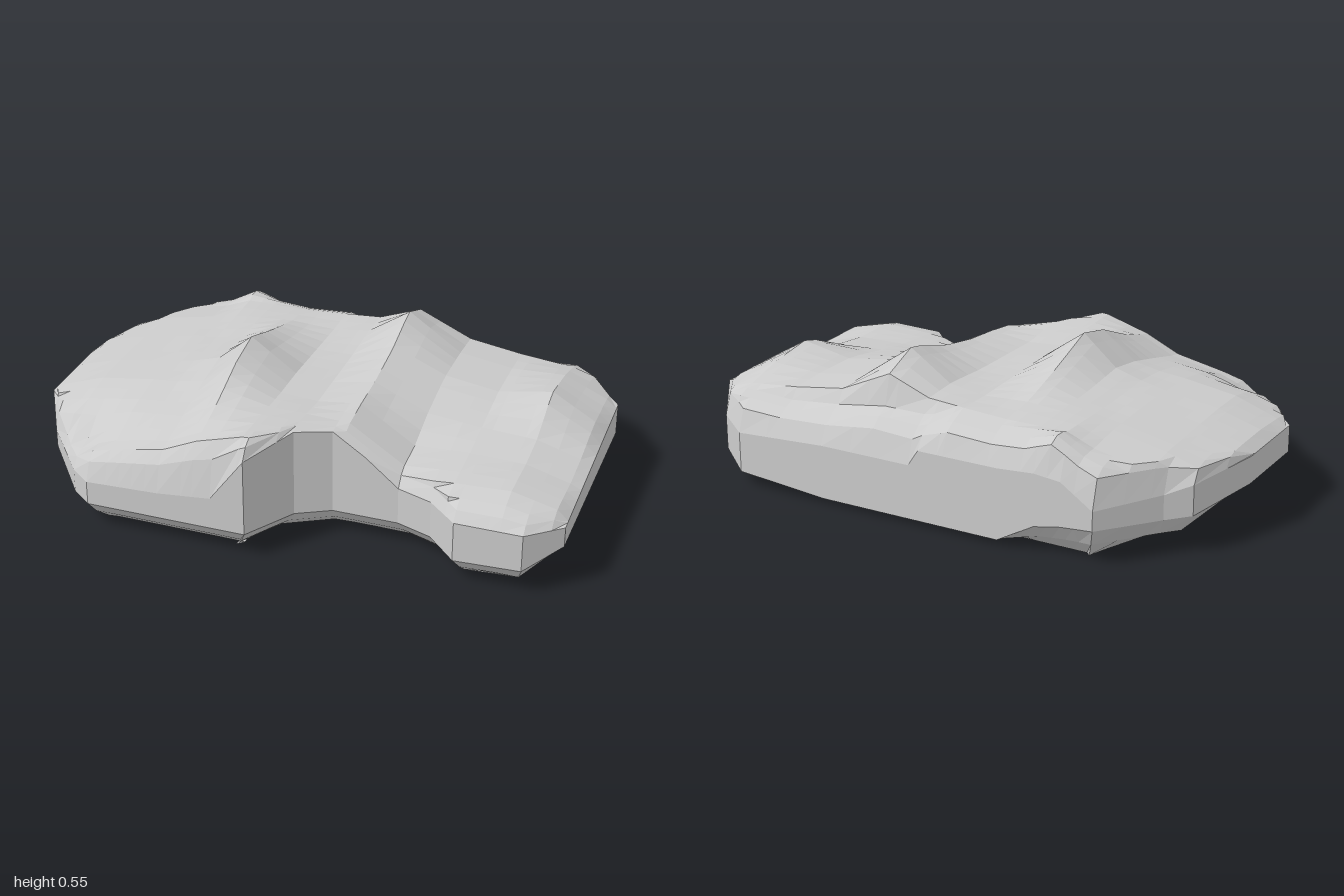
import * as THREE from 'three';

// Front and back rim of the slab: x, z, lower edge y, upper edge y
const FRONT = [
  [-1, .22, .18, .28], [-.91, .385, .15, .22], [-.74, .59, .11, .2], [-.67, .635, .1, .19],
  [-.4, .635, .1, .2], [-.2, .635, .1, .22], [-.075, .635, .1, .39], [.04, .45, .1, .43],
  [.16, .385, .1, .42], [.28, .385, .1, .34], [.4, .385, .1, .24], [.53, .43, .1, .24],
  [.64, .53, .09, .24], [.88, .53, .1, .24], [1, .43, .165, .24],
];
const BACK = [
  [-1, -.12, .18, .28], [-.91, -.38, .14, .25], [-.83, -.44, .13, .22], [-.67, -.64, .13, .2],
  [-.55, -.64, .12, .28], [-.45, -.64, .1, .29], [-.31, -.64, .02, .28], [0, -.64, .02, .28],
  [.04, -.64, .02, .22], [.4, -.64, .02, .22], [.76, -.64, .05, .2], [.88, -.56, .09, .22],
  [1, -.38, .16, .28],
];

// Heights of the upper surface: one cross-section per z station
const XS = [-1, -.8, -.6, -.5, -.4, -.27, -.1, .04, .2, .4, .6, .8, 1];
const ZS = [-.6, -.53, -.5, -.35, -.15, .05, .2, .38, .55];
const SECTIONS = [
  [.24, .28, .35, .41, .37, .36, .37, .32, .33, .30, .29, .30, .26],
  [.27, .31, .36, .41, .40, .39, .40, .37, .37, .34, .32, .33, .28],
  [.27, .32, .36, .40, .40, .40, .41, .42, .48, .39, .36, .34, .28],
  [.28, .34, .38, .40, .41, .42, .41, .43, .54, .40, .37, .38, .29],
  [.30, .35, .39, .40, .42, .48, .42, .42, .48, .40, .37, .41, .29],
  [.30, .36, .39, .41, .44, .55, .43, .42, .45, .36, .34, .33, .27],
  [.29, .36, .39, .40, .42, .52, .43, .42, .44, .31, .32, .315, .26],
  [.27, .33, .36, .37, .38, .45, .44, .44, .42, .29, .31, .32, .27],
  [.22, .26, .30, .32, .34, .40, .45, .46, .40, .27, .28, .28, .25],
];
const ROWS = [.57, .52, .46, .39, .32, .26, .2, .13, .05, -.03, -.1, -.17, -.24, -.3, -.36, -.43, -.5, -.53, -.57];
const LIP = .03; // width of the rounded strip along the rim

const { lerp: mix, clamp } = THREE.MathUtils;

// Cell index and fraction of v along a list of stations
function locate(list, v) {
  let i = 0;
  while (i < list.length - 2 && v > list[i + 1]) i++;
  return [i, clamp((v - list[i]) / (list[i + 1] - list[i]), 0, 1)];
}

function rimAt(rim, x) {
  const [i, u] = locate(rim.map(p => p[0]), x);
  return rim[i].map((v, c) => mix(v, rim[i + 1][c], u));
}

function topHeight(x, z) {
  const [i, u] = locate(XS, x), [j, v] = locate(ZS, z);
  const y = mix(mix(SECTIONS[j][i], SECTIONS[j][i + 1], u),
    mix(SECTIONS[j + 1][i], SECTIONS[j + 1][i + 1], u), v);
  // chipped front corner
  return y - .05 * Math.exp(-((x + .76) ** 2 + (z - .47) ** 2) / .008);
}

// Rim from underside to upper edge, bevelled inwards along its normal
function edge(rim, x, side) {
  const [, z, lo, hi] = rimAt(rim, x);
  const x0 = Math.max(-1, x - .03), x1 = Math.min(1, x + .03);
  const slope = (rimAt(rim, x1)[1] - rimAt(rim, x0)[1]) / (x1 - x0);
  const len = Math.hypot(slope, 1), nx = -side * slope / len, nz = side / len;
  return [
    [clamp(x - nx * .1, -.64, .66), 0, z - nz * .1],
    [clamp(x - nx * .04, -.86, .87), lo * .5, z - nz * .04],
    [x, lo, z],
    [x, hi, z],
  ];
}

// Closed cross-section at x: front edge, upper surface, back edge
function section(x) {
  const front = edge(FRONT, x, 1), back = edge(BACK, x, -1);
  const [, hiF, zF] = front[3], [, hiB, zB] = back[3];
  const inner = [zF - LIP, ...ROWS.map(z => clamp(z, zB + LIP, zF - LIP)), zB + LIP];
  const top = inner.map(z => {
    if (Math.abs(x) === 1) return [x, mix(hiB, hiF, (z - zB) / (zF - zB)), z];
    const y = topHeight(x, z);
    if (z >= zF - LIP) return [x, mix(hiF, y, .7), z];
    if (z <= zB + LIP) return [x, mix(hiB, y, .85), z];
    return [x, y, z];
  });
  return [...front, ...top, ...back.reverse()];
}

function rockGeometry() {
  const columns = [...new Set([...XS, ...FRONT.map(p => p[0]), ...BACK.map(p => p[0]), -.96, .96])]
    .sort((a, b) => a - b);
  const loops = columns.map(section), n = loops[0].length, last = columns.length - 1;
  const index = [];
  const quad = (a, b, c, d) => index.push(a, b, c, a, c, d);
  for (let k = 0; k < last; k++) {
    for (let j = 0; j < n; j++) {
      const a = k * n + j, d = k * n + (j + 1) % n;
      quad(a, a + n, d + n, d);
    }
  }
  // end walls with their bevels
  for (let j = 0; j < 3; j++) {
    const r = last * n;
    quad(r + j, r + n - 1 - j, r + n - 2 - j, r + j + 1);
    quad(n - 1 - j, j, j + 1, n - 2 - j);
  }
  const g = new THREE.BufferGeometry();
  g.setAttribute('position', new THREE.Float32BufferAttribute(loops.flat(2), 3));
  g.setIndex(index);
  g.computeVertexNormals();
  return g;
}

export function createModel() {
  const group = new THREE.Group();
  group.name = 'rockSlab';
  const rock = new THREE.Mesh(rockGeometry(),
    new THREE.MeshStandardMaterial({ color: 0xcccccc, flatShading: true }));
  rock.name = 'rock';
  group.add(rock);
  return group;
}
